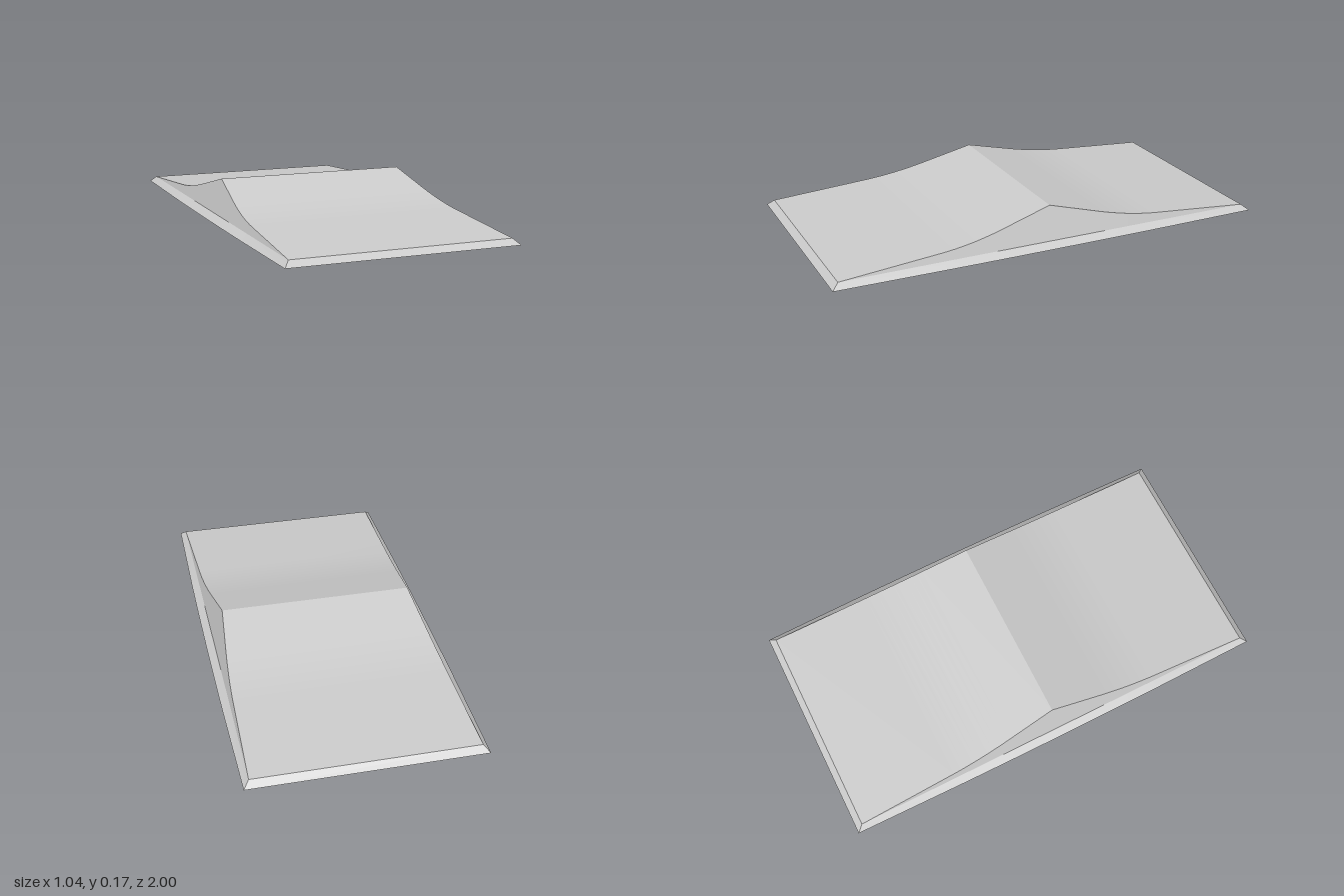
import * as THREE from 'three';
import { toCreasedNormals } from 'three/addons/utils/BufferGeometryUtils.js';

// Half of the ramp profile as [z, y], from the crest down to the toe
function halfProfile() {
  const curve = new THREE.QuadraticBezierCurve(
    new THREE.Vector2(0.22, 0.112), new THREE.Vector2(0.37, 0.072), new THREE.Vector2(0.51, 0.06));
  return [[0, 0.17], ...curve.getPoints(10).map(p => [p.x, p.y]), [0.97, 0.025]];
}

// Skin a grid of cross-sections (equal point counts)
function skin(rows) {
  const n = rows[0].length, index = [];
  for (let i = 0; i < rows.length - 1; i++) {
    for (let j = 0; j < n - 1; j++) {
      const a = i * n + j, b = a + 1, c = a + n, d = c + 1;
      index.push(a, c, b, b, c, d);
    }
  }
  const g = new THREE.BufferGeometry();
  g.setAttribute('position', new THREE.Float32BufferAttribute(rows.flat(2), 3));
  g.setIndex(index);
  return toCreasedNormals(g, 0.3);
}

export function createModel() {
  const group = new THREE.Group();
  const material = new THREE.MeshStandardMaterial({ color: 0xcccccc, side: THREE.DoubleSide });
  const add = (name, rows) => {
    const mesh = new THREE.Mesh(skin(rows), material);
    mesh.name = name;
    group.add(mesh);
  };

  const half = halfProfile();
  const profile = [...half.slice(1).reverse().map(([z, y]) => [-z, y]), ...half];
  const topX = y => 0.485 - 0.05 * (y - 0.025) / 0.145;   // walls lean inward
  const baseX = z => 0.52 - 0.01 * z * z;                 // base bows out slightly

  // Running surface over the hump
  add('deck', profile.map(([z, y]) => [[-topX(y), y, z], [topX(y), y, z]]));

  // Leaning side walls and the flared skirt below them
  for (const [side, s] of [['left', 1], ['right', -1]]) {
    const order = row => (s > 0 ? row : row.reverse());
    add(side + 'Wall', profile.map(([z, y]) => order([[s * topX(y), y, z], [s * 0.485, 0.025, z]])));
    add(side + 'Skirt', profile.map(([z], i) => {
      const end = i === 0 || i === profile.length - 1;
      return order([[s * 0.485, 0.025, z], [s * (end ? 0.51 : baseX(z)), 0, end ? Math.sign(z) : z]]);
    }));
  }

  // Bevelled toes at the front and back; the underside stays open
  for (const [name, s] of [['frontToe', 1], ['backToe', -1]]) {
    add(name, [
      [[-s * 0.485, 0.025, s * 0.97], [s * 0.485, 0.025, s * 0.97]],
      [[-s * 0.51, 0, s], [s * 0.51, 0, s]],
    ]);
  }
  return group;
}
